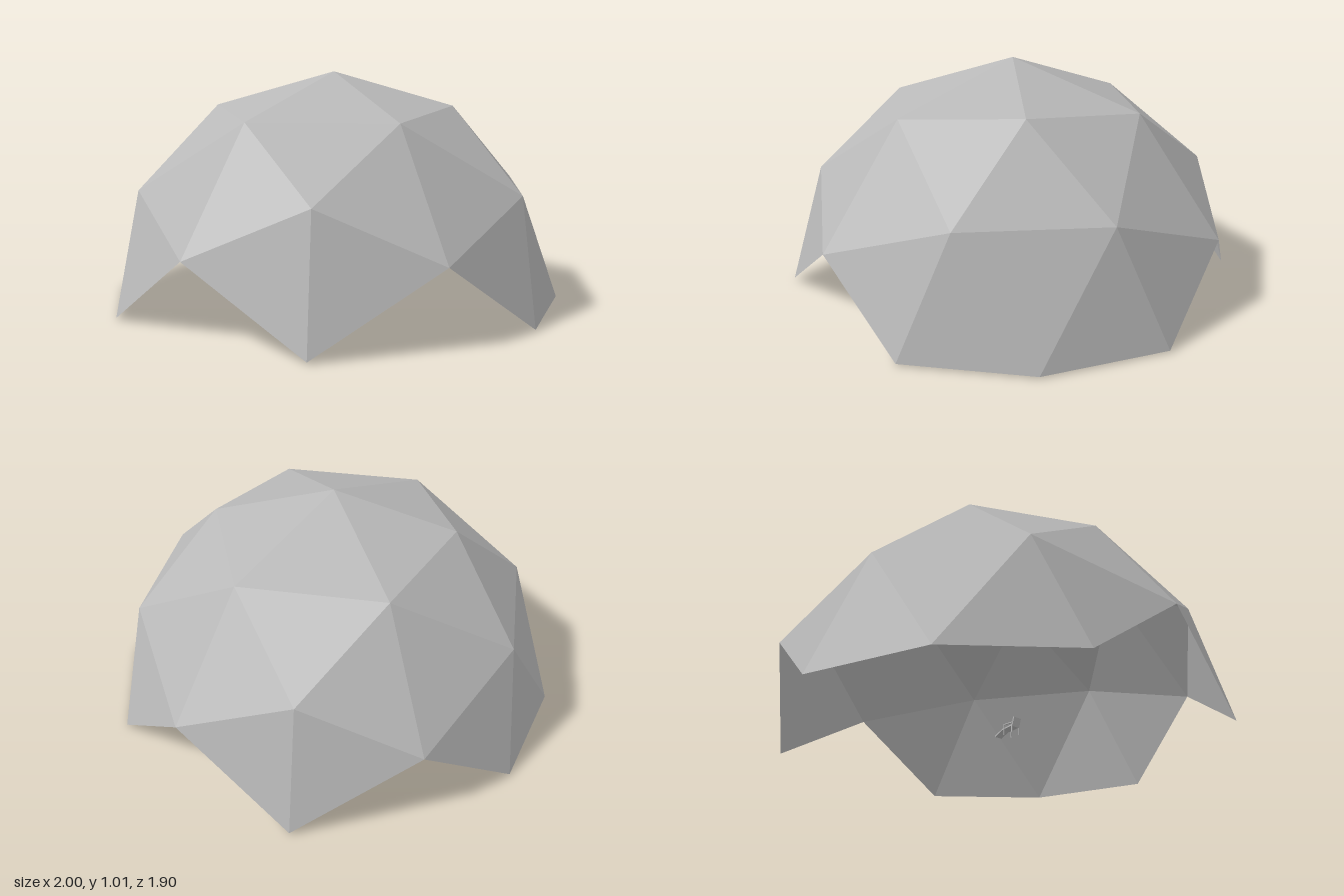
import * as THREE from 'three';

const shellGrey = new THREE.MeshStandardMaterial({ color: 0xb8b8b8, side: THREE.DoubleSide });
shellGrey.name = 'shellGrey';

// Upper half of a faceted sphere: every facet reaching below the ground is left out,
// which leaves the four triangular openings.
function domeGeometry() {
  const sphere = new THREE.IcosahedronGeometry(1, 1);
  sphere.rotateY(Math.atan2(0.5257, 0.8507));
  const p = sphere.attributes.position;
  const kept = [];
  for (let i = 0; i < p.count; i += 3) {
    if (Math.min(p.getY(i), p.getY(i + 1), p.getY(i + 2)) < -0.01) continue;
    for (let k = i; k < i + 3; k++) kept.push(p.getX(k), p.getY(k), p.getZ(k));
  }
  const g = new THREE.BufferGeometry();
  g.setAttribute('position', new THREE.Float32BufferAttribute(kept, 3));
  g.computeVertexNormals();
  return g;
}

// Small reclining chair standing inside the dome
function createChair() {
  const chair = new THREE.Group();
  chair.name = 'chair';
  const box = (name, w, h, d, x, y, z, tilt = 0) => {
    const m = new THREE.Mesh(new THREE.BoxGeometry(w, h, d), shellGrey);
    m.name = name;
    m.position.set(x, y, z);
    m.rotation.x = tilt;
    chair.add(m);
  };
  box('backrest', 0.042, 0.04, 0.006, 0, 0.05, 0.112, 0.3);
  box('seat', 0.042, 0.006, 0.055, 0, 0.032, 0.08, -0.15);
  box('footrest', 0.038, 0.005, 0.055, 0, 0.02, 0.03, -0.45);
  for (const s of [-1, 1]) {
    box('armrest', 0.005, 0.004, 0.05, s * 0.022, 0.046, 0.085);
    box('frontLeg', 0.004, 0.036, 0.004, s * 0.022, 0.018, 0.108);
    box('rearLeg', 0.004, 0.044, 0.004, s * 0.022, 0.022, 0.062);
  }
  return chair;
}

export function createModel() {
  const model = new THREE.Group();
  model.name = 'domeShelter';
  const dome = new THREE.Mesh(domeGeometry(), shellGrey);
  dome.name = 'domeShell';
  dome.position.y = 0.007;
  model.add(dome, createChair());
  return model;
}
